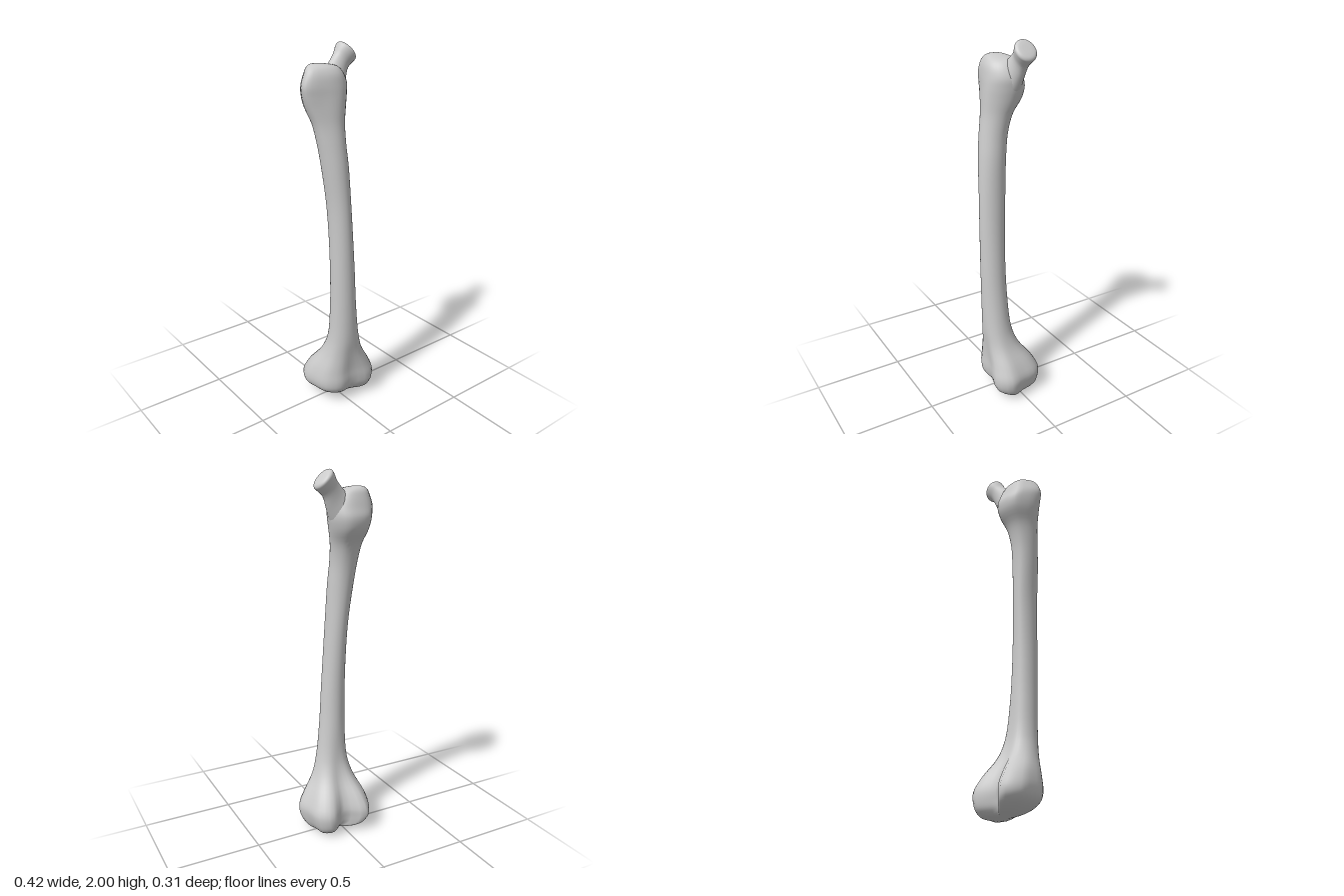
import * as THREE from 'three';

const material = new THREE.MeshStandardMaterial({ color: 0xcccccc });
const SIDES = 12;

// Outlines of 12 points, from +x round through +z, each filling a -1..1 box
const ROUND = Array.from({ length: SIDES }, (_, i) => {
  const a = (i / SIDES) * Math.PI * 2;
  return [Math.cos(a), Math.sin(a)];
});
const CONDYLES = [[.92, 0], [1, .57], [.63, 1], [.03, .87], [-.46, .9], [-.85, .57],
  [-.98, 0], [-1, -.5], [-.68, -1], [-.08, -.6], [.41, -.92], [.8, -.65]];
const TROCHANTER = [[1, -.1], [.85, .5], [.5, .92], [.15, 1], [-.36, .86], [-.95, .53],
  [-1, .2], [-.79, -.36], [-.5, -.82], [0, -1], [.5, -.95], [.86, -.55]];

// Smooth skin through a stack of rings, closed by a point at each end
function loft(rings, stepsPerRing = 4, around = 36) {
  const rows = (rings.length - 1) * stepsPerRing;
  const columns = rings[0].map((_, j) =>
    new THREE.CatmullRomCurve3(rings.map(r => r[j]), false, 'centripetal'));
  const pos = [], index = [];
  const centre = pts => pts.reduce((s, p) => s.add(p), new THREE.Vector3()).divideScalar(pts.length);
  for (let i = 0; i <= rows; i++) {
    const ring = new THREE.CatmullRomCurve3(columns.map(c => c.getPoint(i / rows)), true, 'centripetal');
    for (let j = 0; j < around; j++) pos.push(...ring.getPoint(j / around).toArray());
  }
  const bottom = pos.length / 3, top = bottom + 1;
  pos.push(...centre(rings[0]).toArray(), ...centre(rings[rings.length - 1]).toArray());
  for (let j = 0; j < around; j++) {
    const k = (j + 1) % around;
    for (let i = 0; i < rows; i++) {
      const a = i * around, b = a + around;
      index.push(a + j, b + j, a + k, b + j, b + k, a + k);
    }
    index.push(bottom, j, k, top, rows * around + k, rows * around + j);
  }
  const g = new THREE.BufferGeometry();
  g.setAttribute('position', new THREE.Float32BufferAttribute(pos, 3));
  g.setIndex(index);
  g.computeVertexNormals();
  return g;
}

// Level ring fitted to a box, blending from round towards another outline
function section([y, x0, x1, z0, z1, blend = 0, tilt = 0], outline) {
  return ROUND.map(([rx, rz], i) => {
    const u = THREE.MathUtils.lerp(rx, outline[i][0], blend);
    const v = THREE.MathUtils.lerp(rz, outline[i][1], blend);
    const x = (x0 + x1) / 2 + u * (x1 - x0) / 2;
    return new THREE.Vector3(x, y + tilt * (x - 0.12), (z0 + z1) / 2 + v * (z1 - z0) / 2);
  });
}

function add(group, name, geometry) {
  const mesh = new THREE.Mesh(geometry, material);
  mesh.name = name;
  group.add(mesh);
}

export function createModel() {
  const group = new THREE.Group();
  group.name = 'thighBone';

  // Knee end and shaft: y, left x, right x, back z, front z, blend, tilt
  const lower = [
    [0.0, 0.0, 0.12, -0.05, 0.03, 1, -0.1],
    [0.008, -0.07, 0.155, -0.10, 0.07, 1.2, -0.1],
    [0.035, -0.125, 0.182, -0.135, 0.12, 1.15, -0.09],
    [0.075, -0.15, 0.20, -0.15, 0.148, 1.1, -0.05],
    [0.13, -0.157, 0.207, -0.15, 0.157, 1],
    [0.2, -0.143, 0.18, -0.115, 0.152, 0.85],
    [0.3, -0.105, 0.125, -0.042, 0.15, 0.45],
    [0.4, -0.083, 0.095, -0.005, 0.155, 0.15],
    [0.6, -0.075, 0.069, 0.013, 0.157],
    [0.8, -0.076, 0.055, 0.018, 0.157],
    [1.0, -0.08, 0.042, 0.014, 0.155],
    [1.2, -0.09, 0.031, 0.004, 0.15],
  ].map(s => section(s, CONDYLES));

  // Upper shaft widening into the large outer knob
  const upper = [
    [1.4, -0.115, 0.023, -0.009, 0.14, 0],
    [1.52, -0.133, 0.018, -0.024, 0.126, 0.2],
    [1.62, -0.153, 0.026, -0.052, 0.112, 0.5],
    [1.7, -0.182, 0.047, -0.1, 0.107, 0.8],
    [1.76, -0.2, 0.06, -0.11, 0.103, 1],
    [1.81, -0.208, 0.062, -0.095, 0.098, 1],
    [1.86, -0.193, 0.04, -0.078, 0.088, 1],
    [1.89, -0.175, 0.01, -0.063, 0.07, 0.9],
    [1.905, -0.15, -0.05, -0.04, 0.045, 0.6],
    [1.91, -0.125, -0.09, -0.015, 0.02, 0],
  ].map(s => section(s, TROCHANTER));
  add(group, 'shaftAndKnobs', loft([...lower, ...upper]));

  // Slanted neck flaring to a blunt head: centre, half width, half depth
  const across = new THREE.Vector3(0.68, -0.73, 0);
  const neck = [
    [-0.055, 1.70, 0.0, 0.06, 0.07],
    [-0.015, 1.78, -0.01, 0.085, 0.068],
    [0.034, 1.85, -0.025, 0.066, 0.047],
    [0.068, 1.903, -0.036, 0.054, 0.042],
    [0.094, 1.936, -0.038, 0.061, 0.054],
    [0.106, 1.949, -0.038, 0.062, 0.057],
    [0.113, 1.957, -0.038, 0.052, 0.047],
    [0.116, 1.96, -0.038, 0.025, 0.023],
  ].map(([x, y, z, w, d]) => ROUND.map(([u, v]) =>
    new THREE.Vector3(x, y, z + v * d).addScaledVector(across, u * w)));
  add(group, 'neckAndHead', loft(neck));

  return group;
}
